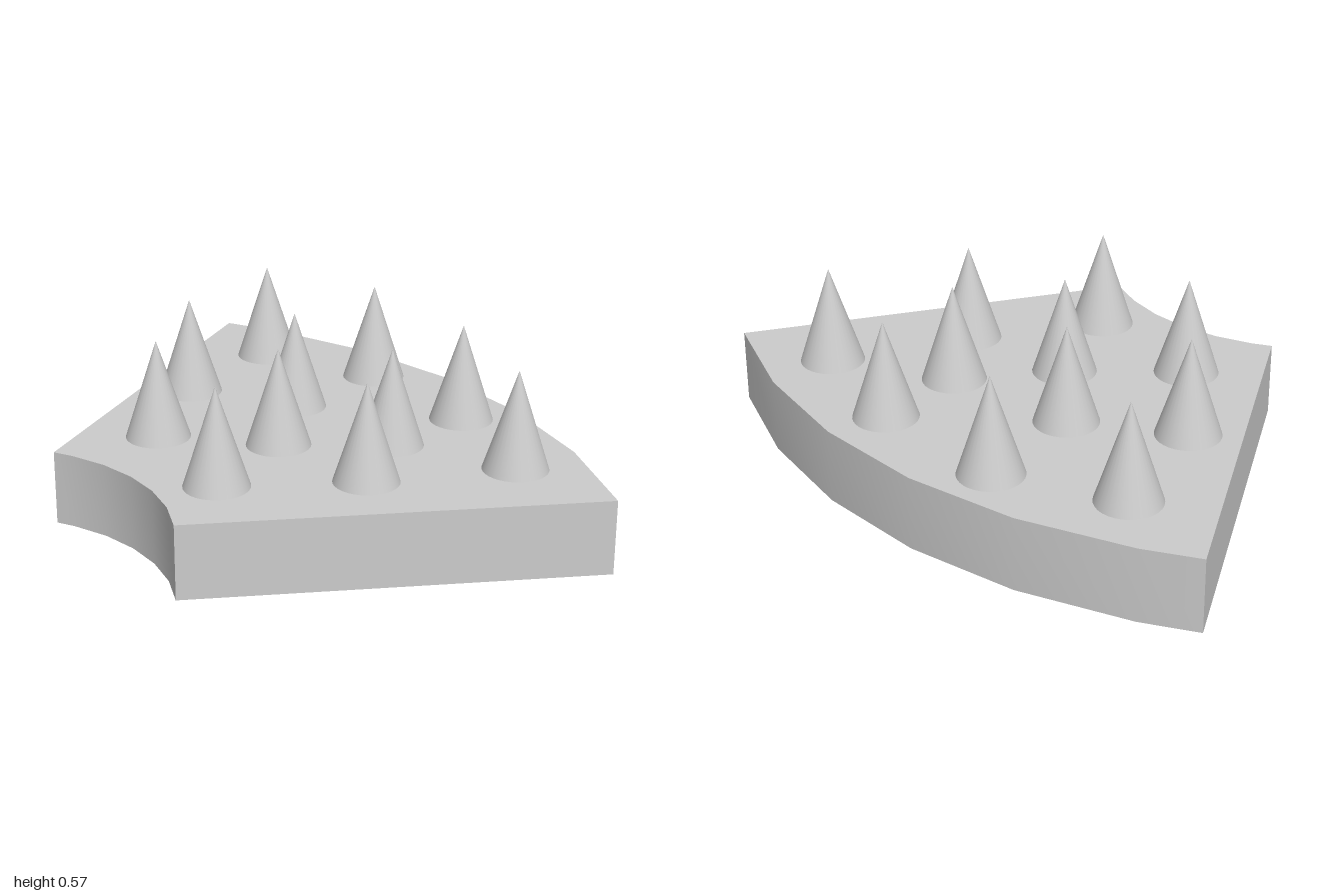
import * as THREE from 'three';
import { toCreasedNormals } from 'three/addons/utils/BufferGeometryUtils.js';

const TOP = 0.245;
const CENTRE = [-1.274, -0.207];
const INNER = 0.679, OUTER = 2.008;
// Angles of the arc corners in degrees, from the back edge to the front edge
const ANGLES = [-23.27, -17.75, -6.85, 4.05, 14.95, 25.85, 36.75];

// Spike positions on the slab (x, z)
const SPIKES = [
  [0.015, -0.578], [0.445, -0.655], [-0.325, -0.348], [0.173, -0.232],
  [0.563, -0.243], [-0.095, -0.028], [-0.454, 0.078], [0.162, 0.223],
  [0.484, 0.234], [-0.102, 0.37], [0.298, 0.625],
];

// Corner points of an arc around the centre, with z negated for the shape plane
function arc(radius) {
  return ANGLES.map((deg) => {
    const a = THREE.MathUtils.degToRad(deg);
    return new THREE.Vector2(CENTRE[0] + radius * Math.cos(a), -(CENTRE[1] + radius * Math.sin(a)));
  });
}

export function createModel() {
  const model = new THREE.Group();
  model.name = 'spikedFloorSegment';
  const material = new THREE.MeshStandardMaterial({ color: 0xcccccc });

  // Sixty-degree ring segment slab
  const outline = new THREE.Shape([...arc(OUTER), ...arc(INNER).reverse()]);
  const slabGeometry = new THREE.ExtrudeGeometry(outline, { depth: TOP, bevelEnabled: false });
  slabGeometry.rotateX(-Math.PI / 2);
  const slab = new THREE.Mesh(toCreasedNormals(slabGeometry, Math.PI / 6), material);
  slab.name = 'slab';
  model.add(slab);

  // Conical spikes standing on the slab
  const height = 0.325;
  const spikeGeometry = new THREE.ConeGeometry(0.105, height, 32);
  const spikes = new THREE.Group();
  spikes.name = 'spikes';
  for (const [x, z] of SPIKES) {
    const spike = new THREE.Mesh(spikeGeometry, material);
    spike.name = 'spike';
    spike.position.set(x, TOP + height / 2, z);
    spikes.add(spike);
  }
  model.add(spikes);

  return model;
}
